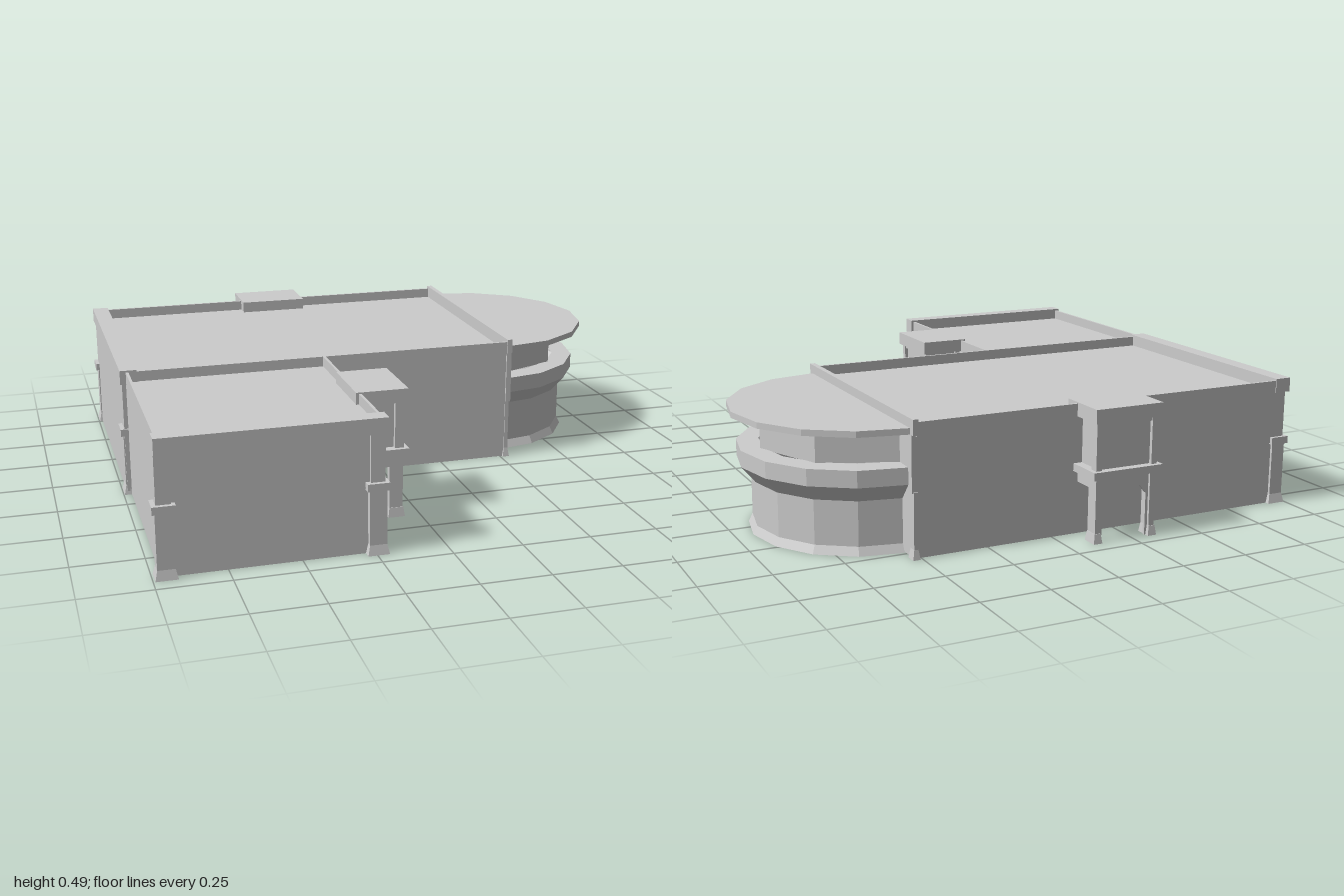
import * as THREE from 'three';

export function createModel() {
  const root = new THREE.Group();
  root.name = 'building';
  const grey = new THREE.MeshStandardMaterial({ color: 0xcccccc, flatShading: true, side: THREE.DoubleSide });
  grey.name = 'pale grey';

  const add = (name, geometry, parent = root) => {
    const mesh = new THREE.Mesh(geometry, grey);
    mesh.name = name;
    parent.add(mesh);
    return mesh;
  };
  // Box given by its limits on each axis
  const box = (name, x0, x1, y0, y1, z0, z1, parent) => add(name,
    new THREE.BoxGeometry(x1 - x0, y1 - y0, z1 - z0)
      .translate((x0 + x1) / 2, (y0 + y1) / 2, (z0 + z1) / 2), parent);
  // Box whose foot spreads outwards
  const foot = (name, x0, x1, z0, z1, spread, parent) => {
    const mesh = box(name, x0, x1, 0, 0.035, z0, z1, parent);
    const p = mesh.geometry.attributes.position;
    const cx = (x0 + x1) / 2, cz = (z0 + z1) / 2;
    for (let i = 0; i < p.count; i++) {
      if (p.getY(i) > 0.01) continue;
      p.setX(i, p.getX(i) + Math.sign(p.getX(i) - cx) * spread);
      p.setZ(i, p.getZ(i) + Math.sign(p.getZ(i) - cz) * spread);
    }
    mesh.geometry.computeVertexNormals();
  };

  // Main hall, open underneath
  const T = 0.01;
  box('hallFrontWall', -0.975, 0.52, 0, 0.43, 0.14, 0.148);
  box('hallBackLowerWall', -0.975, 0.52, 0, 0.235, -0.808, -0.798);
  box('hallBackUpperWall', -0.975, 0.52, 0.235, 0.43, -0.814, -0.8);
  box('hallLeftWall', -0.985, -0.975, 0, 0.44, -0.81, 0.15);
  box('hallRightWall', 0.515, 0.525, 0, 0.43, -0.81, 0.15);
  box('hallRoof', -0.98, 0.52, 0.43, 0.437, -0.815, 0.15);
  box('hallFrontParapet', -0.97, 0.52, 0.425, 0.475, 0.145, 0.155);
  box('hallBackParapet', -0.97, 0.52, 0.425, 0.475, -0.825, -0.815);
  box('hallLeftParapet', -0.992, -0.93, 0.43, 0.482, -0.828, 0.16);
  box('hallRightParapet', 0.515, 0.535, 0.43, 0.485, -0.828, 0.16);

  // Front wing
  box('wingLeftWall', -0.97, -0.96, 0, 0.475, 0.15, 0.92);
  box('wingRightWall', -0.23, -0.22, 0, 0.475, 0.15, 0.92);
  box('wingFrontLowerWall', -0.965, -0.225, 0, 0.235, 0.905, 0.915);
  box('wingFrontUpperWall', -0.965, -0.225, 0.235, 0.43, 0.908, 0.92);
  box('wingRoof', -0.965, -0.225, 0.43, 0.437, 0.15, 0.92);
  box('wingFrontParapet', -0.98, -0.21, 0.425, 0.482, 0.88, 0.94);

  // Corner pilasters with a spreading foot and a belt
  const pilaster = (x0, x1, z0, z1, name) => {
    const g = new THREE.Group();
    g.name = name;
    root.add(g);
    foot('pilasterFoot', x0, x1, z0, z1, 0.008, g);
    box('pilasterShaft', x0, x1, 0.03, 0.235, z0, z1, g);
    box('pilasterBelt', x0 - 0.01, x1 + 0.008, 0.23, 0.257, z0 - 0.008, z1 + 0.01, g);
    box('pilasterTop', x0 + 0.005, x1 - 0.005, 0.25, 0.44, z0 + 0.005, z1 - 0.005, g);
  };
  pilaster(-0.985, -0.925, 0.885, 0.937, 'wingLeftPilaster');
  pilaster(-0.275, -0.215, 0.885, 0.937, 'wingRightPilaster');
  pilaster(-0.989, -0.935, 0.085, 0.145, 'hallFrontLeftPilaster');
  pilaster(-0.989, -0.935, -0.818, -0.76, 'hallBackLeftPilaster');
  for (const [z0, z1] of [[0.12, 0.152], [-0.82, -0.79]]) {
    foot('hallRightPilasterFoot', 0.515, 0.53, z0, z1, 0.006);
    box('hallRightPilaster', 0.515, 0.53, 0.03, 0.235, z0, z1);
    box('hallRightPilasterTop', 0.515, 0.535, 0.23, 0.44, z0 + 0.005, z1 + 0.003);
  }

  // Half-round end: turned half profiles around its centre
  const rotunda = new THREE.Group();
  rotunda.name = 'rotunda';
  rotunda.position.set(0.53, 0, -0.335);
  root.add(rotunda);
  const halfTurn = (name, sides, points) => add(name, new THREE.LatheGeometry(
    points.map(([r, y]) => new THREE.Vector2(r, y)), sides, 0, Math.PI).toNonIndexed(), rotunda);
  halfTurn('rotundaWall', 8, [[0.405, 0], [0.39, 0.03], [0.39, 0.19], [0.44, 0.25], [0.44, 0.31], [0.36, 0.312]]);
  halfTurn('rotundaUpperWall', 4, [[0.37, 0.31], [0.37, 0.432]]);
  halfTurn('rotundaRoof', 8, [[0, 0.43], [0.47, 0.43], [0.47, 0.452], [0, 0.452]]);

  // Entrance bays, built facing +z with the wall at z = 0
  const bay = (name, x, z, turn) => {
    const g = new THREE.Group();
    g.name = name;
    g.position.set(x, 0, z);
    g.rotation.y = turn;
    root.add(g);
    box('bayRoof', -0.133, 0.133, 0.43, 0.48, -0.02, 0.17, g);
    box('bayRoom', -0.105, 0.105, 0.25, 0.432, -0.01, 0.143, g);
    box('bayBelt', -0.138, 0.138, 0.232, 0.26, -0.005, 0.173, g);
    for (const s of [-1, 1]) {
      const span = (a, b) => [Math.min(s * a, s * b), Math.max(s * a, s * b)];
      box('bayCornerPost', ...span(0.1, 0.122), 0.255, 0.432, 0.125, 0.157, g);
      box('bayWallPost', ...span(0.1, 0.122), 0, 0.432, -0.005, 0.02, g);
      box('bayLeg', ...span(0.098, 0.12), 0, 0.235, 0.105, 0.155, g);
      foot('bayLegFoot', ...span(0.098, 0.122), 0.105, 0.157, 0.005, g);
      box('baySideLintel', ...span(0.1, 0.118), 0.19, 0.235, 0, 0.15, g);
    }
    // Front panel with a chamfered doorway
    const panel = new THREE.Shape([[-0.1, 0], [-0.088, 0], [-0.088, 0.155], [-0.062, 0.187],
      [0.062, 0.187], [0.088, 0.155], [0.088, 0], [0.1, 0], [0.1, 0.235], [-0.1, 0.235]]
      .map(([a, b]) => new THREE.Vector2(a, b)));
    add('bayDoorway', new THREE.ExtrudeGeometry(panel, { depth: T, bevelEnabled: false })
      .translate(0, 0, 0.135), g);
    box('bayFrontLintel', -0.1, 0.1, 0.415, 0.432, 0.14, 0.153, g);
  };
  bay('wingBay', -0.22, 0.515, Math.PI / 2);
  bay('backBay', -0.218, -0.782, Math.PI);

  return root;
}
